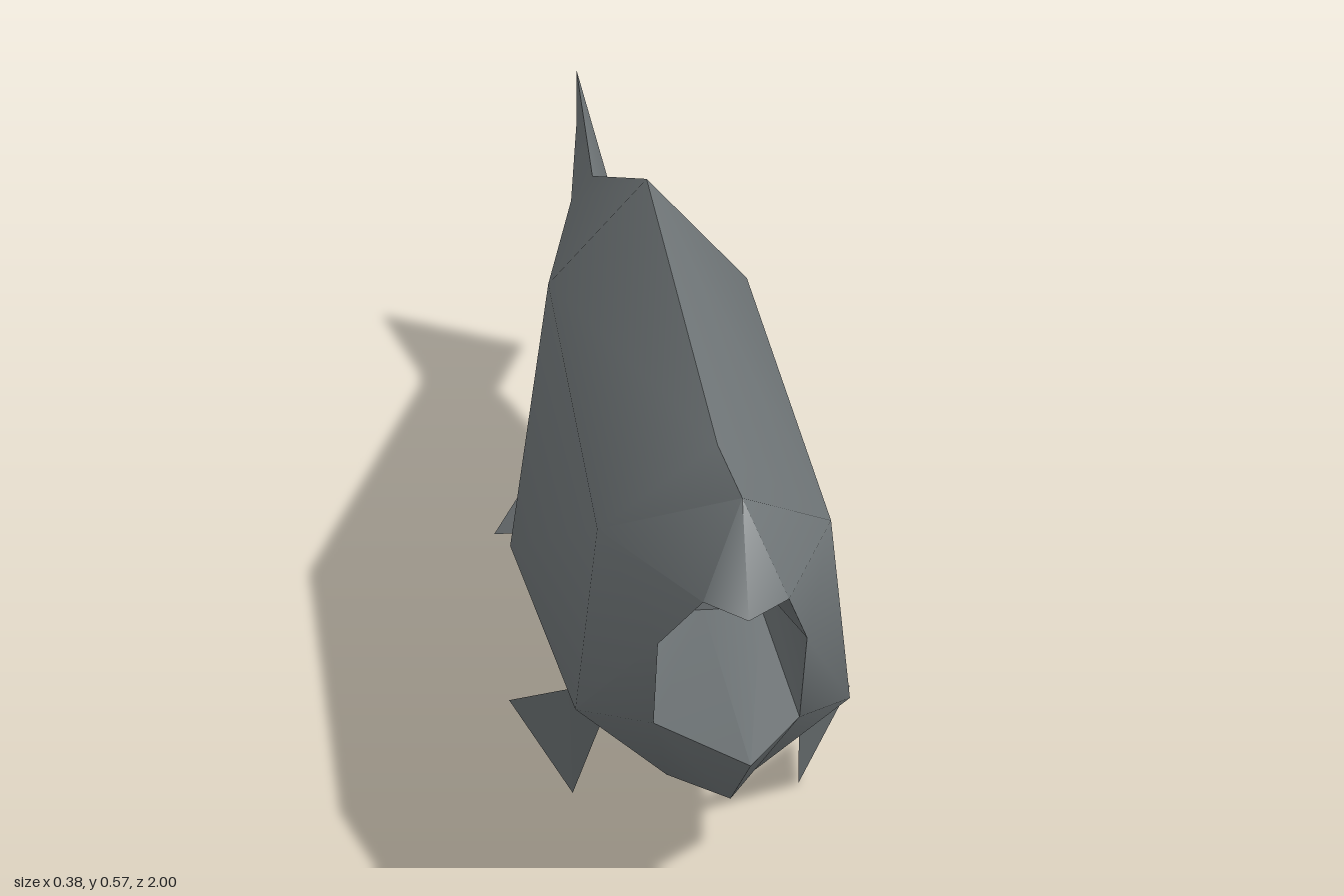
import * as THREE from 'three';
import { toCreasedNormals } from 'three/addons/utils/BufferGeometryUtils.js';

const mirror = ([x, y, z]) => [-x, y, z];

// Geometry from a list of polygons (fans of [x, y, z] corners)
function fromFaces(faces, crease) {
  const pos = [];
  for (const f of faces) {
    for (let i = 1; i < f.length - 1; i++) {
      const [a, b, c] = [f[0], f[i], f[i + 1]].map(p => new THREE.Vector3(...p));
      const area = b.clone().sub(a).cross(c.clone().sub(a)).length();
      if (area > 1e-7) pos.push(...f[0], ...f[i], ...f[i + 1]);
    }
  }
  const g = new THREE.BufferGeometry();
  g.setAttribute('position', new THREE.Float32BufferAttribute(pos, 3));
  return toCreasedNormals(g, crease);
}

// Adds the mirrored copy of every face, with its winding reversed
const bothSides = faces => [...faces, ...faces.map(f => f.map(mirror).reverse())];

export function createModel() {
  const group = new THREE.Group();
  group.name = 'fish';
  const skin = new THREE.MeshStandardMaterial({ color: 0x6e7476, side: THREE.DoubleSide });
  skin.name = 'grey skin';
  const add = (name, faces, crease) => {
    const mesh = new THREE.Mesh(fromFaces(faces, crease), skin);
    mesh.name = name;
    group.add(mesh);
  };

  // Left half of each cross-section: ridge, shoulder, flank, belly edge
  const rings = [
    [[0, 0.45, -0.99], [0, 0.37, -0.993], [0, 0.2, -0.997], [0, 0.125, -1]],
    [[0, 0.365, -0.72], [0.03, 0.33, -0.72], [0.037, 0.26, -0.72], [0.01, 0.228, -0.72]],
    [[0, 0.575, 0.035], [0.117, 0.455, 0.05], [0.167, 0.135, 0.07], [0.066, 0.055, 0.07]],
    [[0, 0.502, 0.73], [0.117, 0.41, 0.71], [0.14, 0.215, 0.71], [0.045, 0.128, 0.69]],
  ];
  const half = [], belly = [];
  for (let r = 0; r < rings.length - 1; r++) {
    const A = rings[r], B = rings[r + 1];
    for (let i = 0; i < 3; i++) half.push([A[i], B[i], B[i + 1], A[i + 1]]);
    belly.push([A[3], B[3], mirror(B[3]), mirror(A[3])]);
  }

  // Head, with an open mouth
  const [ridge, shoulder, flank, throat] = rings[3];
  const snout = [0, 0.52, 0.92], lip = [0, 0.42, 0.975], lipSide = [0.04, 0.432, 0.955];
  const cheek = [0.072, 0.35, 0.86], corner = [0.072, 0.248, 0.82];
  const chin = [0, 0.18, 0.855], jaw = [0, 0.285, 1];
  half.push(
    [ridge, snout, shoulder], [shoulder, snout, lipSide], [shoulder, lipSide, cheek],
    [shoulder, cheek, flank], [flank, cheek, corner], [flank, corner, throat],
    [throat, corner, chin], [chin, corner, jaw], [snout, lip, lipSide],
  );
  belly.push([throat, chin, mirror(throat)]);
  add('body', [...bothSides(half), ...belly], 1.0);

  // Mouth cavity narrowing towards the throat
  const rim = [jaw, corner, cheek, lipSide, lip];
  const back = [[0, 0.28, 0.62], [0.06, 0.28, 0.62], [0.06, 0.33, 0.62], [0.03, 0.34, 0.62], [0, 0.34, 0.62]];
  const cavity = [back];
  for (let i = 0; i < 4; i++) cavity.push([rim[i], rim[i + 1], back[i + 1], back[i]]);
  add('mouth', bothSides(cavity), 1.0);

  // Paired fins, single thin sheets
  const fins = {
    PectoralFin: [[0.1, 0.18, 0.63], [0.137, 0.183, 0.59], [0.19, 0.09, 0.41], [0.125, 0.003, 0.47]],
    PelvicFin: [[0.08, 0.1, -0.06], [0.172, 0.042, -0.2], [0.115, 0.105, -0.26]],
  };
  for (const [name, f] of Object.entries(fins)) {
    add('left' + name, [f], 0.1);
    add('right' + name, [f.map(mirror).reverse()], 0.1);
  }
  return group;
}
